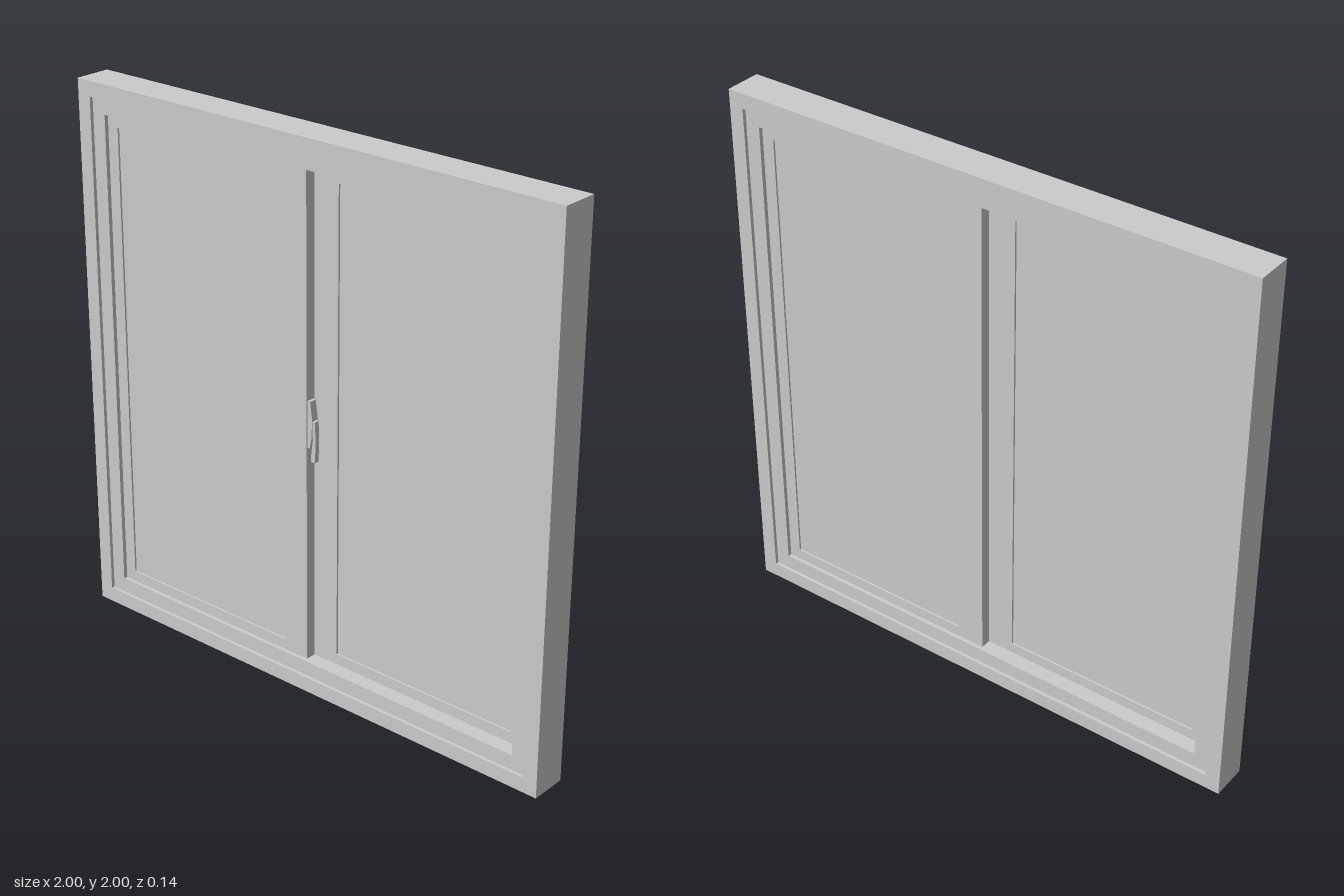
import * as THREE from 'three';

const material = new THREE.MeshStandardMaterial({ color: 0xcccccc, flatShading: true });

// Rectangular ring: bounds [x0, y0, x1, y1] outside and inside, extruded from z0 to z1
function ring(name, o, i, z0, z1) {
  const path = (p, [x0, y0, x1, y1]) =>
    p.moveTo(x0, y0).lineTo(x1, y0).lineTo(x1, y1).lineTo(x0, y1).closePath();
  const shape = path(new THREE.Shape(), o);
  shape.holes.push(path(new THREE.Path(), i));
  const geo = new THREE.ExtrudeGeometry(shape, { depth: z1 - z0, bevelEnabled: false });
  geo.translate(0, 0, z0);
  const mesh = new THREE.Mesh(geo, material);
  mesh.name = name;
  return mesh;
}

function box(name, x0, x1, y0, y1, z0, z1) {
  const mesh = new THREE.Mesh(new THREE.BoxGeometry(x1 - x0, y1 - y0, z1 - z0), material);
  mesh.position.set((x0 + x1) / 2, (y0 + y1) / 2, (z0 + z1) / 2);
  mesh.name = name;
  return mesh;
}

// Sliding sash on the -x side, in the front track
function sash(name) {
  const g = new THREE.Group();
  g.name = name;
  g.add(ring('sashFrame', [-0.89, 0.11, 0, 1.89], [-0.845, 0.15, -0.1, 1.85], 0, 0.04));
  g.add(box('glassPane', -0.845, -0.1, 0.15, 1.85, 0.007, 0.033));
  return g;
}

// Latch on the meeting edge of the front sash
function latch() {
  const g = new THREE.Group();
  g.name = 'latch';
  const profile = (name, pts, z0, z1) => {
    const shape = new THREE.Shape(pts.map(([x, y]) => new THREE.Vector2(x, y)));
    const geo = new THREE.ExtrudeGeometry(shape, { depth: z1 - z0, bevelEnabled: false });
    geo.translate(0, 0, z0);
    const mesh = new THREE.Mesh(geo, material);
    mesh.name = name;
    g.add(mesh);
  };
  profile('latchPlate', [[0, 0.92], [0.01, 0.92], [0.018, 0.96], [0.02, 1.03], [0.014, 1.075],
    [0.012, 1.09], [0, 1.09]], 0.008, 0.036);
  profile('latchLever', [[0.013, 0.87], [0.028, 0.87], [0.032, 0.92], [0.03, 1.02], [0.018, 1.02],
    [0.02, 0.95], [0.013, 0.9]], 0.014, 0.032);
  return g;
}

export function createModel() {
  const model = new THREE.Group();
  model.name = 'slidingWindow';

  // Fixed frame, stepped on both faces
  model.add(ring('outerFrame', [-1, 0, 1, 2], [-0.945, 0.055, 0.945, 1.945], -0.068, 0.068));
  model.add(ring('innerFrame', [-0.945, 0.055, 0.945, 1.945], [-0.89, 0.11, 0.89, 1.89], -0.055, 0.055));

  // Front sash, and the same sash turned round into the back track
  model.add(sash('frontSash'));
  const back = sash('backSash');
  back.rotation.y = Math.PI;
  model.add(back);

  model.add(latch());
  return model;
}
